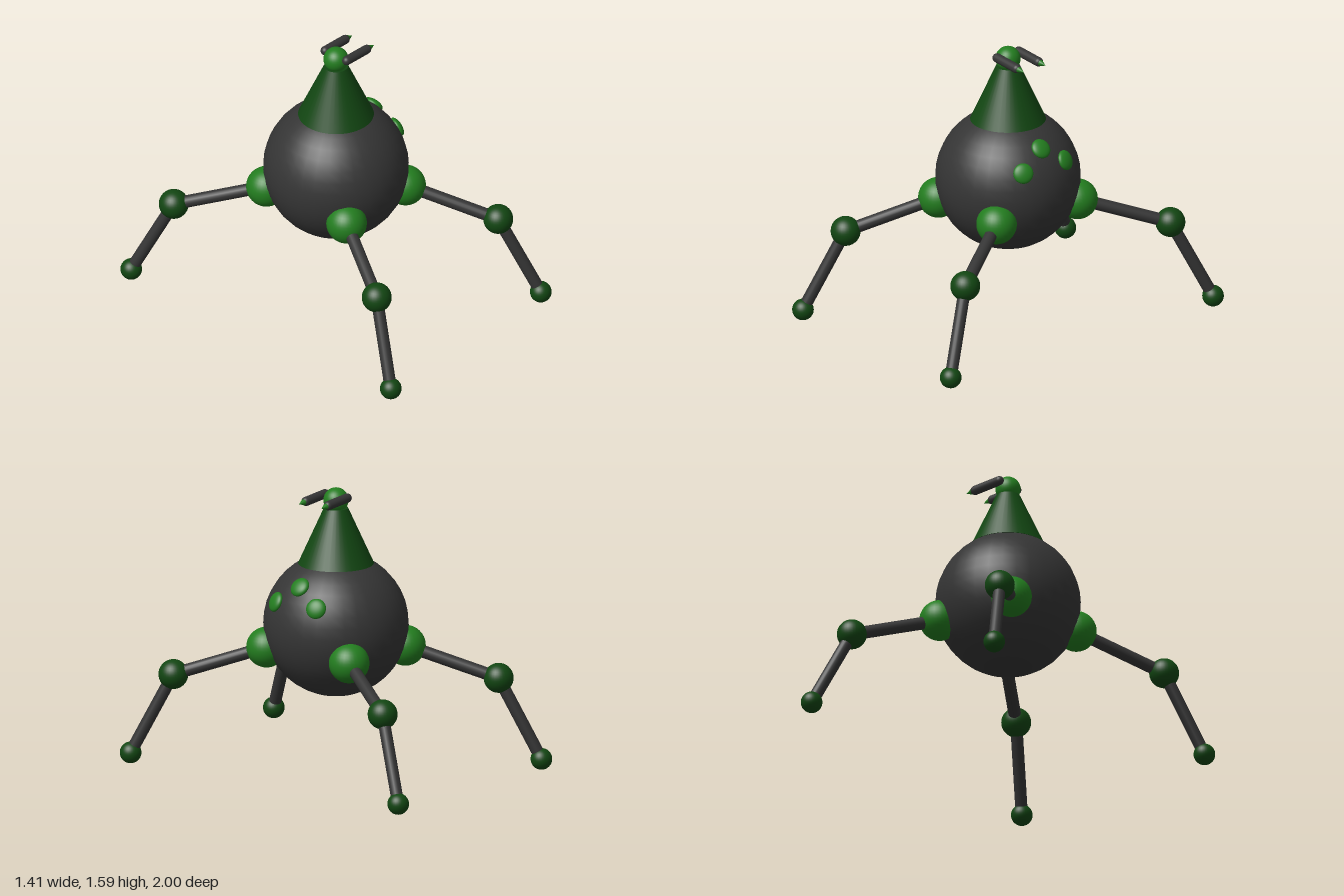
import * as THREE from 'three';

const paint = (color) => new THREE.MeshStandardMaterial({ color });
const GREY = paint(0x353535);
const GREEN = paint(0x237d1f);
const DARK_GREEN = paint(0x124612);
const UP = new THREE.Vector3(0, 1, 0);
const v = (x, y, z) => new THREE.Vector3(x, y, z);

function add(parent, name, geometry, material, position) {
  const mesh = new THREE.Mesh(geometry, material);
  mesh.name = name;
  mesh.position.copy(position);
  parent.add(mesh);
  return mesh;
}

const ball = (parent, name, r, material, position) =>
  add(parent, name, new THREE.SphereGeometry(r, 32, 20), material, position);

// Round bar between two points
function rod(parent, name, a, b, r, material) {
  const dir = b.clone().sub(a);
  const geometry = new THREE.CylinderGeometry(r, r, dir.length(), 20);
  const mesh = add(parent, name, geometry, material, a.clone().lerp(b, 0.5));
  mesh.quaternion.setFromUnitVectors(UP, dir.normalize());
}

function makeLeg(sx, sz) {
  const leg = new THREE.Group();
  leg.name = (sz > 0 ? 'front' : 'back') + (sx > 0 ? 'Left' : 'Right') + 'Leg';
  const hip = v(0.253 * sx, 0.685, 0.29 * sz);
  const knee = v(0.521 * sx, 0.515, 0.735 * sz);
  const foot = v(0.643 * sx, 0.06, 0.94 * sz);
  ball(leg, 'hip', 0.113, GREEN, hip);
  rod(leg, 'upperLeg', hip, knee, 0.035, GREY);
  ball(leg, 'knee', 0.083, DARK_GREEN, knee);
  rod(leg, 'lowerLeg', knee, foot, 0.034, GREY);
  ball(leg, 'foot', 0.06, DARK_GREEN, foot);
  return leg;
}

// Slightly drooping arm beside the head, pointing to +x with a pointed tip
function makeArm(side) {
  const arm = new THREE.Group();
  arm.name = side > 0 ? 'frontArm' : 'backArm';
  arm.position.set(0, 1.543, 0.078 * side);
  arm.rotation.z = -0.06;
  const bar = add(arm, 'armBar', new THREE.CapsuleGeometry(0.026, 0.17, 8, 20), GREY, v(0.085, 0, 0));
  const tip = add(arm, 'armTip', new THREE.ConeGeometry(0.022, 0.055, 20), GREEN, v(0.205, 0, 0));
  bar.rotation.z = tip.rotation.z = -Math.PI / 2;
  return arm;
}

export function createModel() {
  const model = new THREE.Group();
  model.name = 'fourLeggedRobot';

  // Round body, tapered neck and small head
  const centre = v(0, 0.815, 0);
  const bodyRadius = 0.404;
  ball(model, 'body', bodyRadius, GREY, centre);
  add(model, 'neck', new THREE.CylinderGeometry(0.067, 0.21, 0.315, 40), DARK_GREEN, v(0, 1.318, 0));
  ball(model, 'head', 0.07, GREEN, v(0, 1.52, 0));

  // Arms and legs
  for (const s of [1, -1]) {
    model.add(makeArm(s));
    for (const sx of [1, -1]) model.add(makeLeg(sx, s));
  }

  // Three flattened buttons lying on the left side of the body
  for (const [x, y, z] of [[0.305, 0.265, 0.015], [0.335, 0.165, 0.165], [0.34, 0.17, -0.127]]) {
    const normal = v(x, y, z).normalize();
    const button = ball(model, 'button', 0.057, GREEN, normal.clone().multiplyScalar(bodyRadius).add(centre));
    button.scale.y = 0.45;
    button.quaternion.setFromUnitVectors(UP, normal);
  }
  return model;
}
